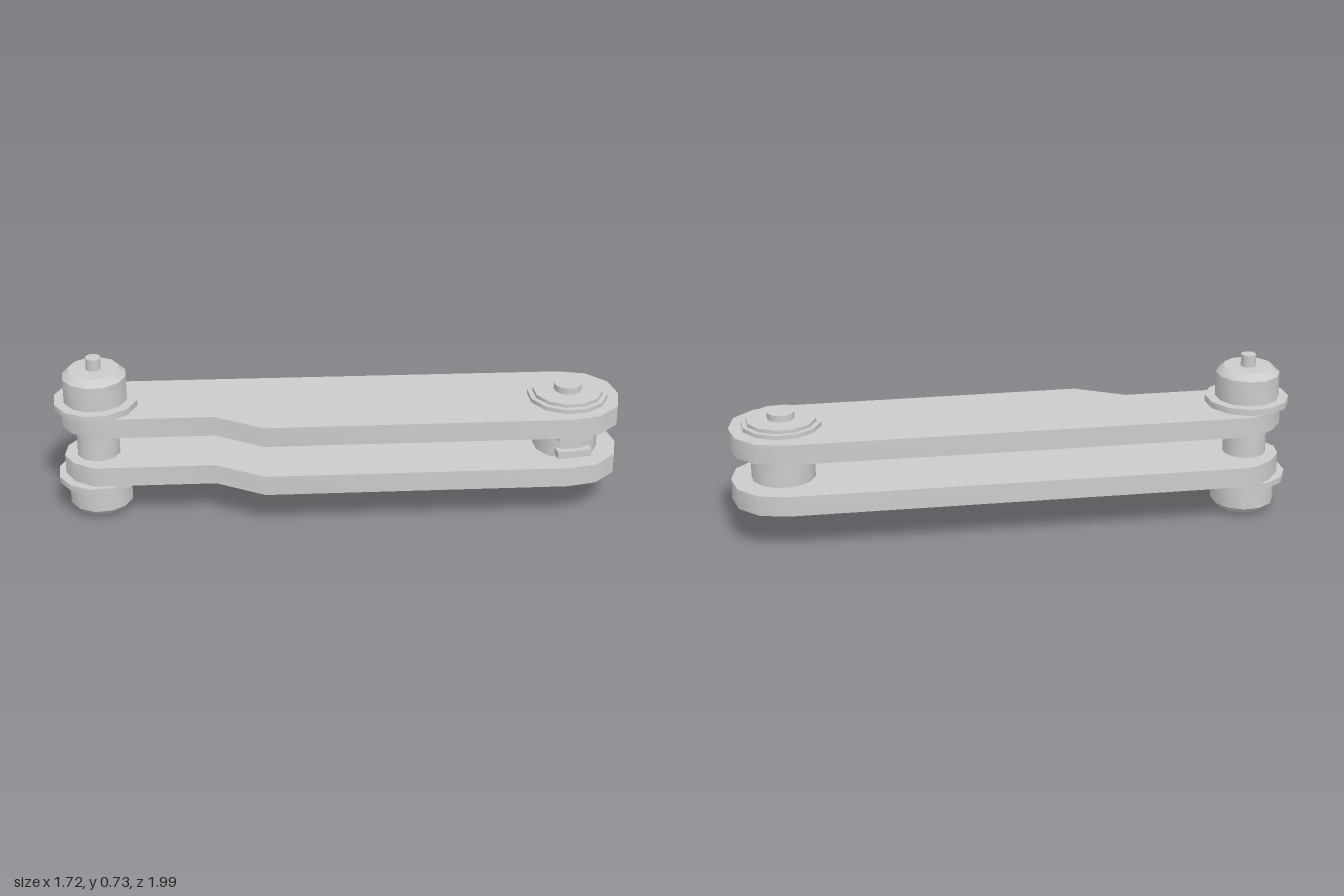
import * as THREE from 'three';
import { toCreasedNormals } from 'three/addons/utils/BufferGeometryUtils.js';

const MID = 0.349; // height of the symmetry plane between the two plates
const A = [-0.675, -0.815]; // roller end (x, z)
const B = [0.623, 0.767]; // hinge end (x, z)
const SIDES = 12;

export function createModel() {
  const group = new THREE.Group();
  const material = new THREE.MeshStandardMaterial({ color: 0xcccccc });

  const add = (name, geometry, x = 0, y = 0, z = 0) => {
    const mesh = new THREE.Mesh(toCreasedNormals(geometry, 0.6), material);
    mesh.name = name;
    mesh.position.set(x, y, z);
    group.add(mesh);
    return mesh;
  };
  // Upright cylinder between two heights
  const cylinder = (name, [x, z], r, y0, y1, rTop = r, rBottom = r) =>
    add(name, new THREE.CylinderGeometry(rTop, rBottom, y1 - y0, SIDES), x, (y0 + y1) / 2, z);
  // The same turned profile above and below the symmetry plane
  const mirroredLathe = (name, [x, z], profile) => {
    const upper = profile.map(([r, y]) => new THREE.Vector2(r, y - MID));
    const lower = upper.map((p) => new THREE.Vector2(p.x, -p.y)).reverse();
    add(name + 'Upper', new THREE.LatheGeometry(upper, SIDES), x, MID, z);
    add(name + 'Lower', new THREE.LatheGeometry(lower, SIDES), x, MID, z);
  };

  // Link plates: narrow end at the roller, wide end at the hinge
  const outline = [
    [-0.49, -0.91], [0.80, 0.61], [0.857, 0.72], [0.847, 0.84], [0.775, 0.935],
    [0.67, 0.993], [0.545, 0.98], [0.445, 0.905], [-0.41, -0.09], [-0.462, -0.325],
    [-0.745, -0.655], [-0.805, -0.725], [-0.82, -0.83], [-0.79, -0.91],
    [-0.72, -0.958], [-0.62, -0.967], [-0.54, -0.945],
  ];
  const shape = new THREE.Shape(outline.map(([x, z]) => new THREE.Vector2(x, -z)));
  for (const [name, y] of [['lowerPlate', 0.186], ['upperPlate', 0.422]]) {
    const plate = new THREE.ExtrudeGeometry(shape, { depth: 0.09, bevelEnabled: false });
    plate.rotateX(-Math.PI / 2);
    add(name, plate, 0, y, 0);
  }

  // Roller end: spacer, washers, chamfered rollers and axle
  cylinder('rollerSpacer', A, 0.095, 0.27, 0.428);
  mirroredLathe('rollerWasher', A, [[0, 0.512], [0.184, 0.512], [0.184, 0.54], [0, 0.54]]);
  mirroredLathe('roller', A, [[0.14, 0.538], [0.14, 0.651], [0.11, 0.68], [0, 0.68]]);
  cylinder('rollerAxle', A, 0.033, 0, 0.733);

  // Hinge end: barrel, stepped washers and pin
  cylinder('hingeBarrel', B, 0.14, 0.27, 0.428);
  mirroredLathe('hingeWasher', B, [
    [0, 0.512], [0.174, 0.512], [0.174, 0.53], [0.152, 0.53], [0.152, 0.546], [0, 0.546],
  ]);
  cylinder('hingePin', B, 0.06, 0.122, 0.575);

  // Two flat tabs on the barrel, square to the plates' length
  for (const y of [0.306, 0.389]) {
    const tab = add('barrelTab', new THREE.BoxGeometry(0.15, 0.033, 0.12), B[0] - 0.068, y, B[1] + 0.072);
    tab.rotation.y = -0.707;
  }

  return group;
}
